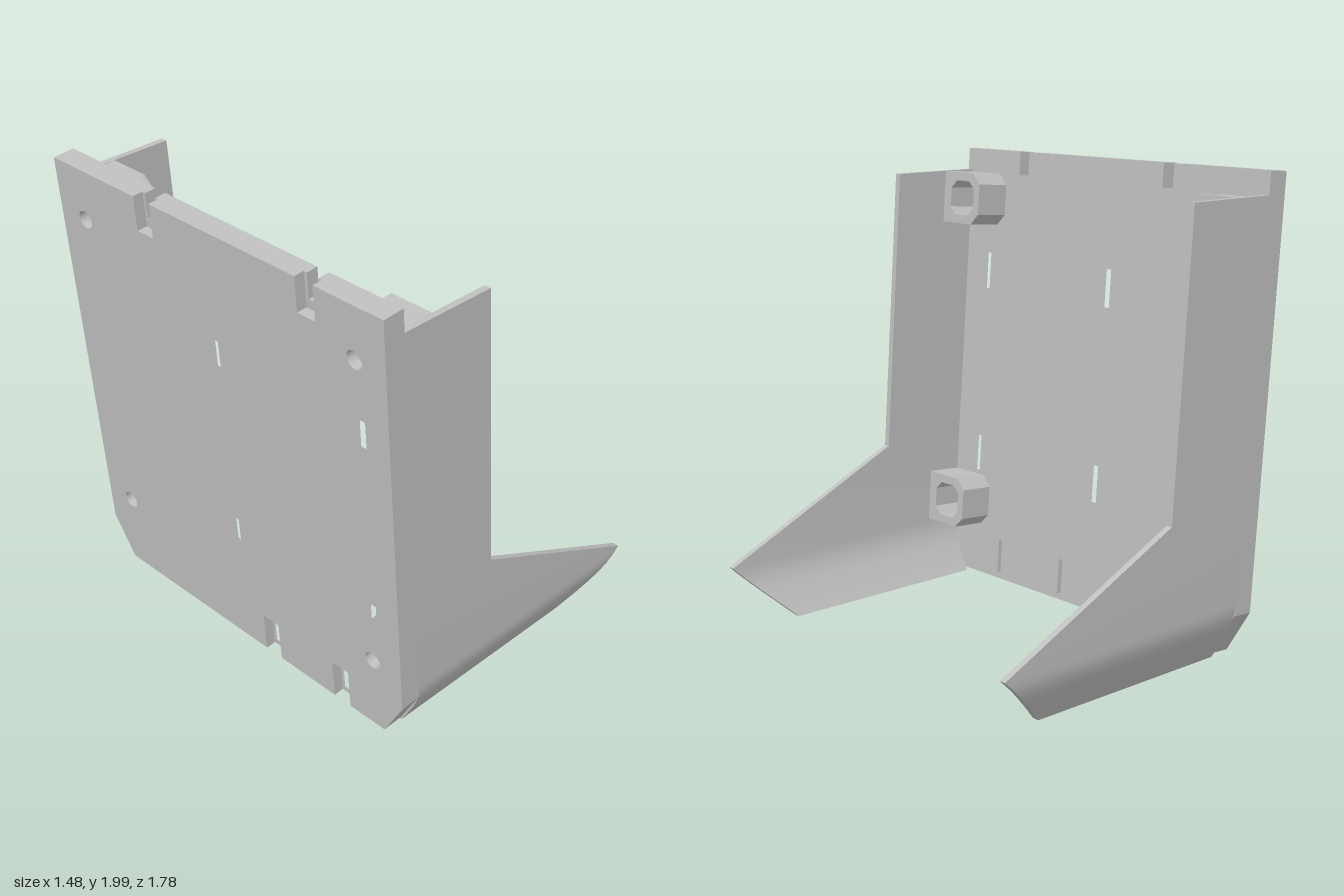
import * as THREE from 'three';
import { toCreasedNormals } from 'three/addons/utils/BufferGeometryUtils.js';

const TILT = 0.073;
const FOOT = { x: -0.51, y: 0.016 }; // lower front edge of the panel
const HEIGHT = 1.98;

export function createModel() {
  const model = new THREE.Group();
  model.name = 'bracket';
  const grey = new THREE.MeshStandardMaterial({ color: 0xbfbfbf });
  grey.name = 'light grey';

  const add = (parent, name, geometry) => {
    const mesh = new THREE.Mesh(geometry, grey);
    mesh.name = name;
    parent.add(mesh);
  };

  // Shapes are drawn as [z, height] and extruded along x
  const toVectors = (points) => points.map(([z, y]) => new THREE.Vector2(-z, y));
  const extrude = (shape, from, to) =>
    new THREE.ExtrudeGeometry(shape, { depth: to - from, bevelEnabled: false, curveSegments: 16 })
      .rotateY(Math.PI / 2).translate(from, 0, 0);
  const rectangle = (z, w, y0, y1) =>
    new THREE.Path(toVectors([[z - w, y0], [z + w, y0], [z + w, y1], [z - w, y1]]));
  const octagon = (z, y, r, c) => new THREE.Path(toVectors([
    [z - r, y - r + c], [z - r + c, y - r], [z + r - c, y - r], [z + r, y - r + c],
    [z + r, y + r - c], [z + r - c, y + r], [z - r + c, y + r], [z - r, y + r - c]]));

  const tilted = new THREE.Group();
  tilted.name = 'backAssembly';
  tilted.position.set(FOOT.x, FOOT.y, 0);
  tilted.rotation.z = TILT;
  model.add(tilted);

  const topNotches = [0.512, -0.358];
  const bottomSlots = [0.548, 0.142];
  const bossHeights = [0.35, 1.757];

  // One layer of the panel; the rear layer has wider, deeper slots
  const panelLayer = (rear) => {
    const w = rear ? 0.045 : 0.029;
    const drop = rear ? 0.04 : 0;
    const outline = [[-0.785, 0]];
    if (rear) {
      [...bottomSlots].reverse().forEach((z) =>
        outline.push([z - w, 0], [z - w, 0.184], [z + w, 0.184], [z + w, 0]));
    }
    outline.push([0.785, 0], [0.89, 0.185], [0.89, HEIGHT]);
    topNotches.forEach((z) => outline.push(
      [z + w, HEIGHT], [z + w, 1.873 - drop], [z - w, 1.873 - drop], [z - w, HEIGHT]));
    outline.push([-0.89, HEIGHT], [-0.89, 0.185]);
    const shape = new THREE.Shape(toVectors(outline));
    for (const z of [0.73, -0.04]) {
      for (const y of [0.485, 1.345]) shape.holes.push(rectangle(z, w, y - drop, y + 0.165));
    }
    if (!rear) bottomSlots.forEach((z) => shape.holes.push(rectangle(z, w, 0.025, 0.184)));
    for (const z of [0.74, -0.74]) {
      for (const y of bossHeights) {
        shape.holes.push(new THREE.Path().absarc(-z, y, rear ? 0.038 : 0.03, 0, Math.PI * 2));
      }
    }
    return shape;
  };
  add(tilted, 'panelFront', extrude(panelLayer(false), -0.05, 0));
  add(tilted, 'panelRear', extrude(panelLayer(true), -0.095, -0.05));

  // Hollow screw bosses, joined to the side walls
  for (const s of [1, -1]) {
    for (const y of bossHeights) {
      const boss = new THREE.Shape(toVectors([
        [0.862, y - 0.115], [0.672, y - 0.115], [0.625, y - 0.068],
        [0.625, y + 0.068], [0.672, y + 0.115], [0.862, y + 0.115],
      ].map(([z, v]) => [s * z, v])));
      boss.holes.push(octagon(s * 0.738, y, 0.077, 0.034));
      add(tilted, 'screwBoss', extrude(boss, 0, 0.163));
    }
  }

  // Side walls: horizontal sections [y, front x, inner z], curling in at the foot
  const sections = [
    [0, 0.47, 0.755], [0.03, 0.502, 0.773], [0.07, 0.544, 0.797], [0.11, 0.587, 0.819],
    [0.15, 0.629, 0.839], [0.19, 0.671, 0.853], [0.22, 0.703, 0.859], [0.25, 0.735, 0.862],
    [0.655, -0.13, 0.862], [1.895, -0.215, 0.862]];
  const wall = (s) => {
    const rings = sections.map(([y, xf, zi]) => {
      const xb = FOOT.x - Math.tan(TILT) * (y - FOOT.y);
      const zo = Math.min(zi + 0.03, 0.89);
      return [[xb, y, s * zi], [xf, y, s * zi], [xf, y, s * zo], [xb, y, s * zo]];
    });
    const positions = [];
    const quad = (a, b, c, d) => {
      const order = s > 0 ? [a, c, b, a, d, c] : [a, b, c, a, c, d];
      order.forEach((p) => positions.push(...p));
    };
    for (let i = 0; i < rings.length - 1; i++) {
      for (let k = 0; k < 4; k++) {
        const n = (k + 1) % 4;
        quad(rings[i][k], rings[i][n], rings[i + 1][n], rings[i + 1][k]);
      }
    }
    quad(...[...rings[0]].reverse());
    quad(...rings[rings.length - 1]);
    const geometry = new THREE.BufferGeometry();
    geometry.setAttribute('position', new THREE.Float32BufferAttribute(positions, 3));
    return toCreasedNormals(geometry, 0.4);
  };
  add(model, 'leftWall', wall(1));
  add(model, 'rightWall', wall(-1));

  return model;
}
